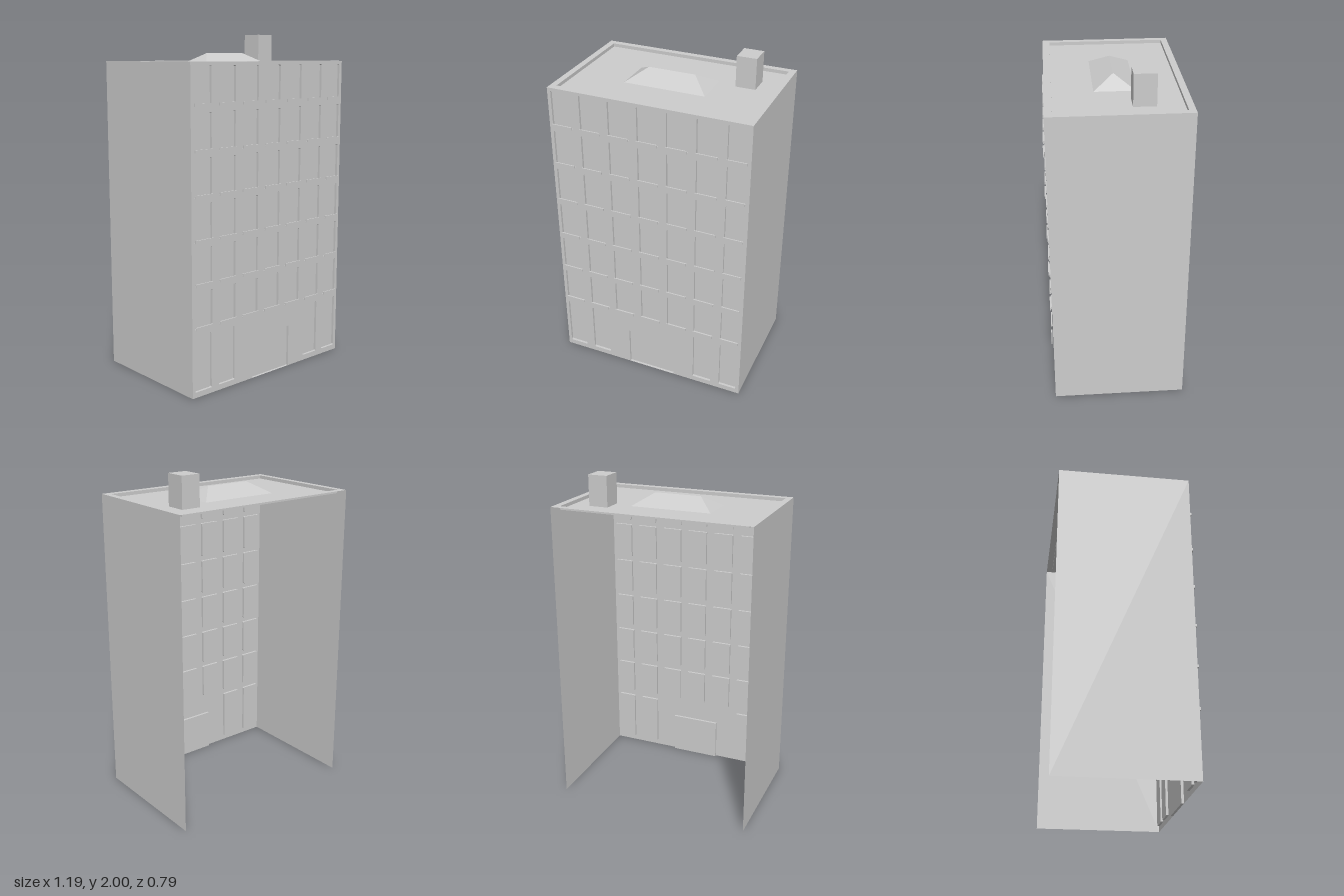
import * as THREE from 'three';

const material = new THREE.MeshStandardMaterial({ color: 0xcccccc, side: THREE.DoubleSide });
const HALF = 0.596, FRONT = 0.381, BACK = -0.393, TOP = 1.84, FLOOR = 1.82;

// Corner points of a rectangle, with small chamfers when c > 0
function rect(x0, y0, x1, y1, c = 0) {
  const p = (x, y) => new THREE.Vector2(x, y);
  if (!c) return [p(x0, y0), p(x1, y0), p(x1, y1), p(x0, y1)];
  return [p(x0 + c, y0), p(x1 - c, y0), p(x1, y0 + c), p(x1, y1 - c),
    p(x1 - c, y1), p(x0 + c, y1), p(x0, y1 - c), p(x0, y0 + c)];
}

// Flat sheet with holes, at height z
function sheet(outline, holes, z) {
  const shape = new THREE.Shape(outline);
  shape.holes = holes.map((h) => new THREE.Path(h));
  return new THREE.ShapeGeometry(shape).translate(0, 0, z);
}

// Band of walls around an outline, from z0 up to z1
function band(points, z0, z1) {
  const pos = [];
  points.forEach((a, i) => {
    const b = points[(i + 1) % points.length];
    pos.push(a.x, a.y, z0, b.x, b.y, z0, b.x, b.y, z1, a.x, a.y, z0, b.x, b.y, z1, a.x, a.y, z1);
  });
  const g = new THREE.BufferGeometry();
  g.setAttribute('position', new THREE.Float32BufferAttribute(pos, 3));
  g.computeVertexNormals();
  return g;
}

function add(group, name, geometry) {
  const mesh = new THREE.Mesh(geometry, material);
  mesh.name = name;
  group.add(mesh);
  return mesh;
}

// Inset pane with its reveals
function recess(group, name, outline, depth) {
  const part = new THREE.Group();
  part.name = name;
  add(part, 'pane', sheet(outline, [], FRONT - depth));
  add(part, 'reveal', band(outline, FRONT - depth, FRONT));
  group.add(part);
}

export function createModel() {
  const model = new THREE.Group();
  model.name = 'building';

  // Window grid: seven columns, six upper floors
  const openings = [];
  const columns = Array.from({ length: 7 }, (_, i) => {
    const x0 = -0.576 + i * 0.1732;
    return [x0, x0 + (i === 6 ? 0.112 : 0.124)];
  });
  for (let floor = 0; floor < 6; floor++) {
    const top = 0.603 + floor * 0.2435;
    for (const [x0, x1] of columns) {
      const outline = rect(x0, top - 0.212, x1, top, 0.004);
      openings.push(outline);
      recess(model, 'window', outline, 0.015);
      const sill = add(model, 'windowSill', new THREE.BoxGeometry(x1 - x0, 0.017, 0.007));
      sill.position.set((x0 + x1) / 2, top - 0.204, 0.3895);
    }
  }

  // Tall ground floor windows and entrance
  for (const i of [0, 1, 5, 6]) {
    const outline = rect(columns[i][0], 0.032, columns[i][0] + (i === 6 ? 0.112 : 0.118), 0.354, 0.004);
    openings.push(outline);
    recess(model, 'groundWindow', outline, 0.015);
  }
  const door = rect(-0.145, 0, 0.158, 0.254);
  recess(model, 'entrance', door, 0.015);

  // Front wall, notched at the entrance
  const wall = [...rect(-HALF, 0, HALF, TOP)];
  wall.splice(1, 0, door[0], door[3], door[2], door[1]);
  add(model, 'frontWall', sheet(wall, openings, FRONT));

  // Side walls; the back stays open
  for (const side of [-1, 1]) {
    const g = new THREE.PlaneGeometry(FRONT - BACK, TOP).rotateY(side * Math.PI / 2);
    add(model, 'sideWall', g).position.set(side * HALF, TOP / 2, (FRONT + BACK) / 2);
  }

  // Roof, drawn flat (x, -z) and laid down
  const roof = new THREE.Group();
  roof.name = 'roof';
  roof.rotation.x = -Math.PI / 2;
  model.add(roof);
  const inner = rect(-0.559, -0.339, 0.557, 0.355);
  const skylight = rect(-0.259, -0.112, 0.227, 0.119);
  const chimney = rect(0.334, 0.081, 0.45, 0.206);
  add(roof, 'parapetTop', sheet(rect(-HALF, -FRONT, HALF, -BACK), [inner], TOP));
  add(roof, 'parapetInside', band(inner, FLOOR, TOP));
  add(roof, 'roofFloor', sheet(inner, [skylight, chimney], FLOOR));
  add(roof, 'chimneySides', band(chimney, FLOOR, 2));
  add(roof, 'chimneyTop', sheet(chimney, [], 2));

  // Hipped skylight over an opening in the roof
  const ridge = [[-0.157, 0.003, 1.886], [0.124, 0.003, 1.886]];
  const corners = [...skylight.map((p) => [p.x, p.y, FLOOR]), ...ridge];
  const faces = [0, 1, 5, 0, 5, 4, 1, 2, 5, 2, 3, 4, 2, 4, 5, 3, 0, 4];
  const hip = new THREE.BufferGeometry();
  hip.setAttribute('position', new THREE.Float32BufferAttribute(faces.flatMap((i) => corners[i]), 3));
  hip.computeVertexNormals();
  add(roof, 'skylight', hip);

  return model;
}
